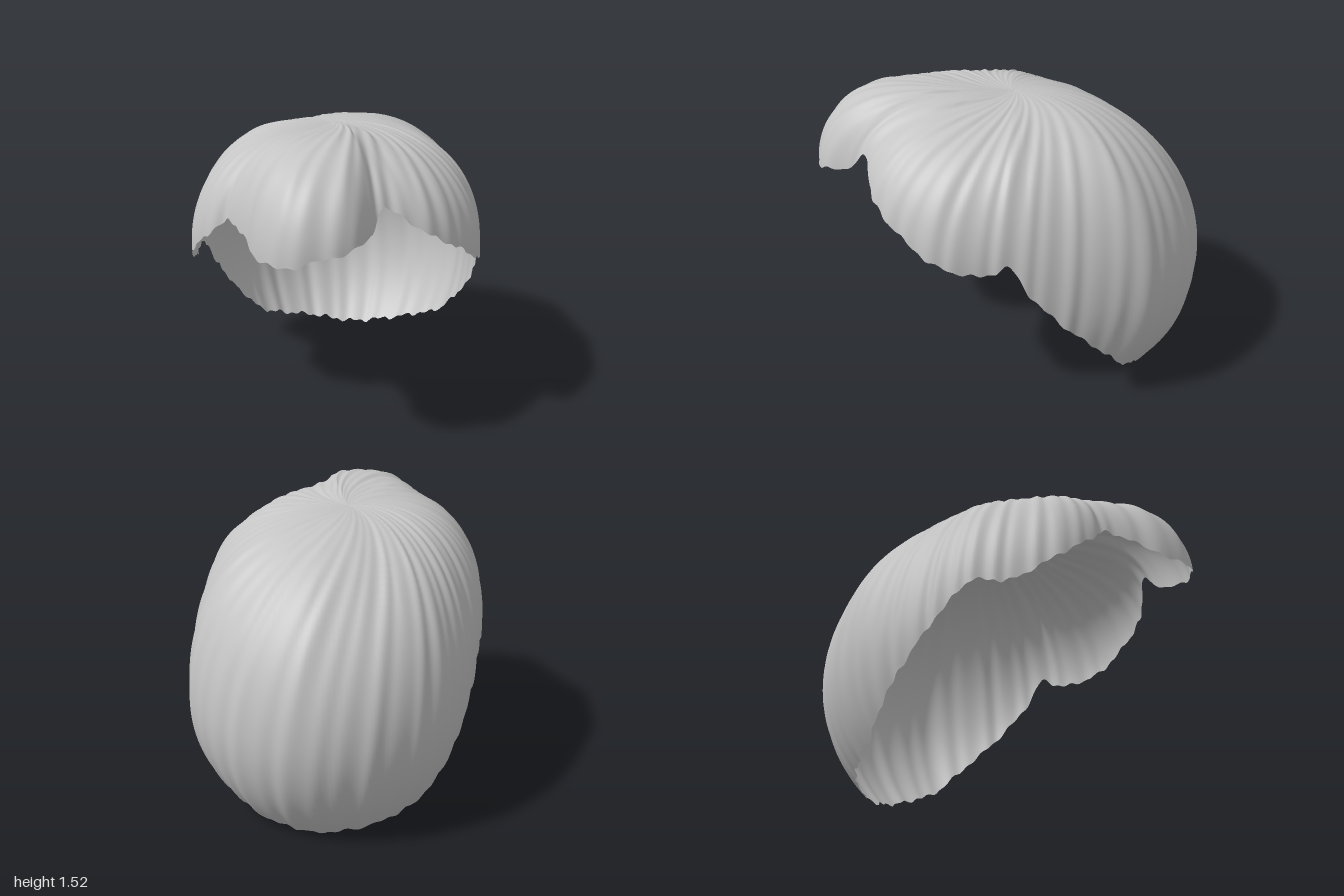
import * as THREE from 'three';

const POLE = new THREE.Vector3(-0.04, 1.47, -0.02);
const BELOW = 0.86; // vertical semi-axis under the widest level

// Outline seen from above, clockwise from the back:
// x, z, height of the lower edge, height of the widest level, extra fullness
const KEYS = [
  [0, -1, 0.01, 0.58, 0], [0.3, -0.93, 0.05, 0.58, 0.02], [0.49, -0.8, 0.12, 0.6, 0.04],
  [0.62, -0.66, 0.2, 0.62, 0.06], [0.69, -0.42, 0.41, 0.65, 0.08], [0.72, -0.25, 0.57, 0.7, 0.08],
  [0.73, -0.1, 0.74, 0.8, 0.08], [0.73, 0, 0.9, 0.87, 0.07], [0.73, 0.12, 0.85, 0.87, 0.07],
  [0.72, 0.34, 0.9, 0.89, 0.06], [0.62, 0.52, 1.02, 0.97, 0.06], [0.49, 0.64, 1.12, 1.03, 0.07],
  [0.28, 0.7, 1.26, 1.12, 0.08], [0.24, 0.8, 1.16, 1.08, 0.12], [0.14, 0.94, 1.13, 1.06, 0.15],
  [-0.1, 0.99, 1.07, 1.04, 0.16], [-0.25, 0.9, 1.06, 1.03, 0.16], [-0.36, 0.73, 1.12, 1.04, 0.14],
  [-0.45, 0.61, 1.14, 1.04, 0.12], [-0.58, 0.55, 1.03, 0.98, 0.1], [-0.68, 0.42, 0.91, 0.9, 0.09],
  [-0.72, 0.2, 0.79, 0.87, 0.08], [-0.735, 0, 0.8, 0.84, 0.08], [-0.72, -0.2, 0.6, 0.72, 0.08],
  [-0.69, -0.4, 0.38, 0.65, 0.08], [-0.62, -0.62, 0.17, 0.62, 0.06], [-0.5, -0.78, 0.1, 0.6, 0.04],
  [-0.3, -0.92, 0.05, 0.58, 0.02],
];

const closedCurve = (pick) => new THREE.CatmullRomCurve3(
  KEYS.map((k) => new THREE.Vector3(...pick(k))), true, 'catmullrom', 0.4);

// Height along one strand line, from the crown (phi = 0) downwards
function strandHeight(phi, wide, full) {
  const c = Math.cos(phi);
  return c > 0
    ? wide + (POLE.y - wide) * c + full * Math.sin(2 * phi) * Math.sin(phi) ** 0.4
    : wide + BELOW * c;
}

// Angle at which the strand line reaches the lower edge
function edgeAngle(edge, wide, full) {
  let lo = 0.8, hi = 2.7;
  for (let i = 0; i < 30; i++) {
    const mid = (lo + hi) / 2;
    if (strandHeight(mid, wide, full) > edge) lo = mid; else hi = mid;
  }
  return lo;
}

// Shallow grooves that swirl out of the crown
function groove(azimuth, t) {
  const a = azimuth - 0.75 * (1 - Math.exp(-3.5 * t));
  const wave = Math.sin(46 * a) * 0.7 + Math.sin(29 * a + 1) * 0.4 + Math.sin(71 * a + 2) * 0.15;
  return 0.005 * wave * Math.min(1, t * 3);
}

function hairGeometry(around = 448, down = 56) {
  const outline = closedCurve((k) => [k[0], k[2], k[1]]);
  const shape = closedCurve((k) => [k[3], k[4], 0]);
  const positions = [], index = [];
  for (let i = 0; i < around; i++) {
    const u = i / around;
    const p = outline.getPoint(u);
    const { x: wide, y: edgeFull } = shape.getPoint(u);
    const dx = p.x - POLE.x, dz = p.z - POLE.z;
    const azimuth = Math.atan2(dz, dx);
    const edge = p.y + 0.012 * Math.sin(46 * azimuth) * Math.sin(17 * azimuth);
    const end = edgeAngle(edge, wide, edgeFull);
    const reach = Math.hypot(dx, dz) / Math.sin(Math.min(end, Math.PI / 2));
    for (let j = 0; j <= down; j++) {
      const t = j / down, phi = end * t, g = groove(azimuth, t);
      // the swell of the fringe follows the swirl towards the crown
      const full = shape.getPoint((u + 0.1 * (1 - t) ** 2) % 1).y;
      const r = (reach + g) * Math.sin(phi);
      positions.push(
        POLE.x + Math.cos(azimuth) * r,
        strandHeight(phi, wide, full) + g * Math.cos(phi),
        POLE.z + Math.sin(azimuth) * r);
      if (j < down) {
        const a = i * (down + 1) + j, b = ((i + 1) % around) * (down + 1) + j;
        if (j > 0) index.push(a, b, a + 1);
        index.push(b, b + 1, a + 1);
      }
    }
  }
  const geometry = new THREE.BufferGeometry();
  geometry.setAttribute('position', new THREE.Float32BufferAttribute(positions, 3));
  geometry.setIndex(index);
  geometry.computeVertexNormals();
  return geometry;
}

export function createModel() {
  const hairGrey = new THREE.MeshStandardMaterial({ color: 0xc4c4c4, side: THREE.DoubleSide });
  hairGrey.name = 'hair grey';

  // Open shell of swept hair with a fringe at the front
  const hair = new THREE.Mesh(hairGeometry(), hairGrey);
  hair.name = 'hair';

  const group = new THREE.Group();
  group.name = 'hairpiece';
  group.add(hair);
  return group;
}
